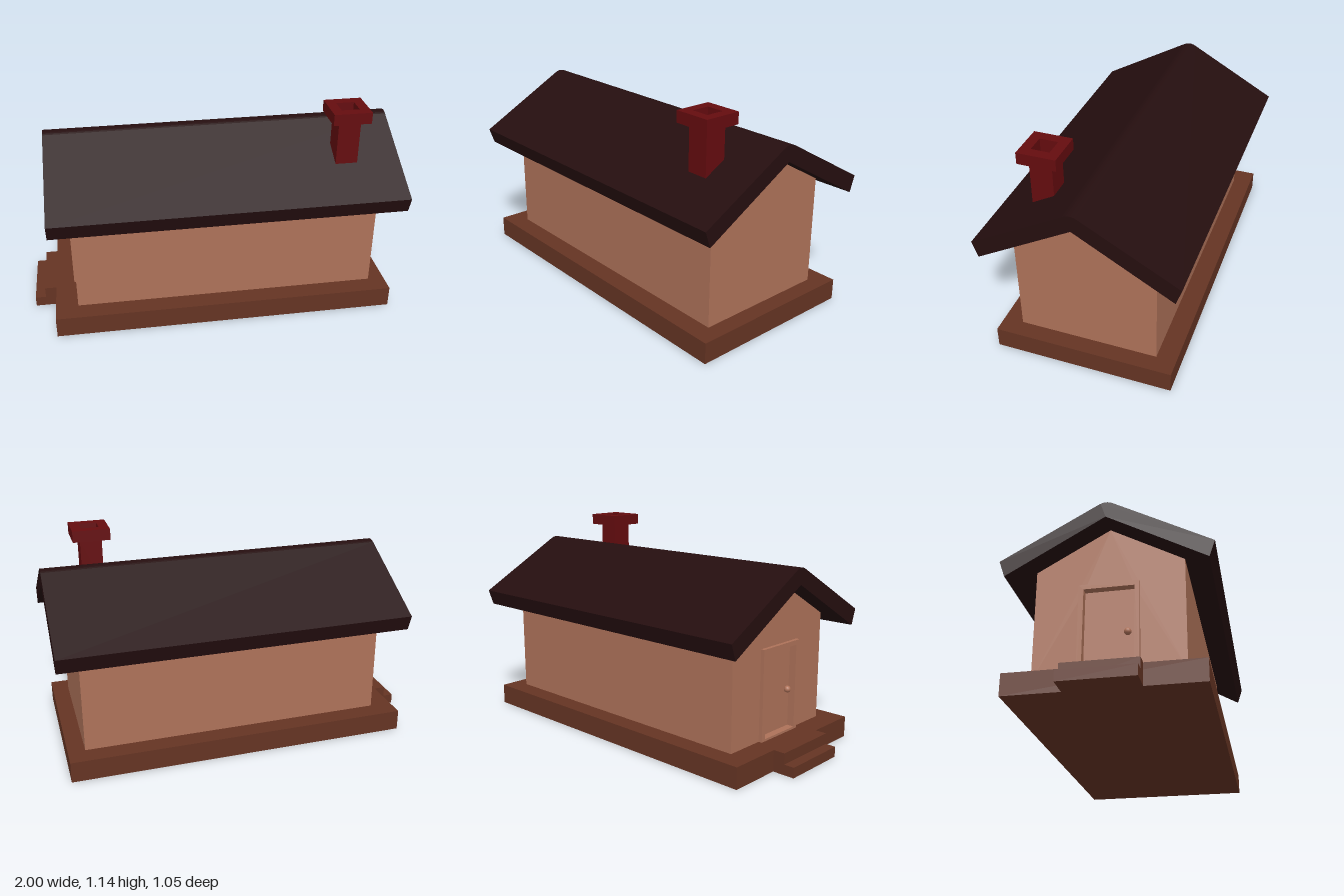
import * as THREE from 'three';

const mat = (name, color) => new THREE.MeshStandardMaterial({ name, color });

export function createModel() {
  const house = new THREE.Group();
  house.name = 'house';
  const wallMat = mat('clay wall', 0xae7259);
  const baseMat = mat('brown base', 0x653423);
  const roofMat = mat('dark roof', 0x250e0f);
  const brickMat = mat('red brick', 0x650c0f);

  const add = (name, geo, material) => {
    const mesh = new THREE.Mesh(geo, material);
    mesh.name = name;
    house.add(mesh);
    return mesh;
  };
  // Box given by its lower and upper corners
  const box = (name, material, x0, x1, y0, y1, z0, z1) => {
    const geo = new THREE.BoxGeometry(x1 - x0, y1 - y0, z1 - z0);
    geo.translate((x0 + x1) / 2, (y0 + y1) / 2, (z0 + z1) / 2);
    return add(name, geo, material);
  };
  const polygon = (pts) => new THREE.Shape(pts.map(([u, v]) => new THREE.Vector2(u, v)));
  // Extrude a cross-section along x from x0 to x1
  const alongX = (name, material, shape, x0, x1) => {
    const geo = new THREE.ExtrudeGeometry(shape, { depth: x1 - x0, bevelEnabled: false, curveSegments: 8 });
    geo.rotateY(Math.PI / 2).translate(x0, 0, 0);
    return add(name, geo, material);
  };

  // Foundation and entrance steps
  box('foundation', baseMat, -0.88, 0.967, 0, 0.113, -0.475, 0.475);
  box('upperStep', baseMat, -0.943, -0.88, 0, 0.113, -0.185, 0.185);
  box('lowerStep', baseMat, -1, -0.943, 0, 0.055, -0.185, 0.185);

  // Walls: solid body plus an entrance gable with a door opening
  const gable = () => polygon([[-0.37, 0.113], [0.37, 0.113], [0.37, 0.698], [0, 0.908], [-0.37, 0.698]]);
  alongX('walls', wallMat, gable(), -0.72, 0.877);
  const entrance = gable();
  entrance.holes.push(polygon([[-0.125, 0.125], [-0.125, 0.57], [0.125, 0.57], [0.125, 0.125]]));
  alongX('entranceWall', wallMat, entrance, -0.76, -0.72);

  // Door frame, door and knob
  const frame = polygon([[-0.15, 0.113], [0.15, 0.113], [0.15, 0.595], [-0.15, 0.595]]);
  frame.holes.push(polygon([[-0.125, 0.125], [-0.125, 0.57], [0.125, 0.57], [0.125, 0.125]]));
  alongX('doorFrame', wallMat, frame, -0.78, -0.76);
  box('door', wallMat, -0.74, -0.72, 0.125, 0.57, -0.125, 0.125);
  const knob = new THREE.SphereGeometry(0.018, 16, 10);
  knob.translate(-0.757, 0.335, 0.09);
  add('doorKnob', knob, wallMat);

  // Gabled roof with a rounded ridge
  const roof = new THREE.Shape();
  roof.moveTo(0, 0.91);
  roof.lineTo(0.497, 0.627);
  roof.lineTo(0.526, 0.712);
  roof.lineTo(0.035, 0.985);
  roof.quadraticCurveTo(0, 1.004, -0.035, 0.985);
  roof.lineTo(-0.526, 0.712);
  roof.lineTo(-0.497, 0.627);
  roof.closePath();
  alongX('roof', roofMat, roof, -0.877, 1);

  // Hollow chimney: shaft and cap
  const ring = (name, half, y0, y1) => {
    const square = (h) => [[-h, -h], [h, -h], [h, h], [-h, h]];
    const shape = polygon(square(half));
    shape.holes.push(polygon(square(0.048).reverse()));
    const geo = new THREE.ExtrudeGeometry(shape, { depth: y1 - y0, bevelEnabled: false });
    geo.rotateX(-Math.PI / 2).translate(0.705, y0, 0.246);
    add(name, geo, brickMat);
  };
  ring('chimneyShaft', 0.059, 0.81, 1.076);
  ring('chimneyCap', 0.101, 1.076, 1.137);

  return house;
}
